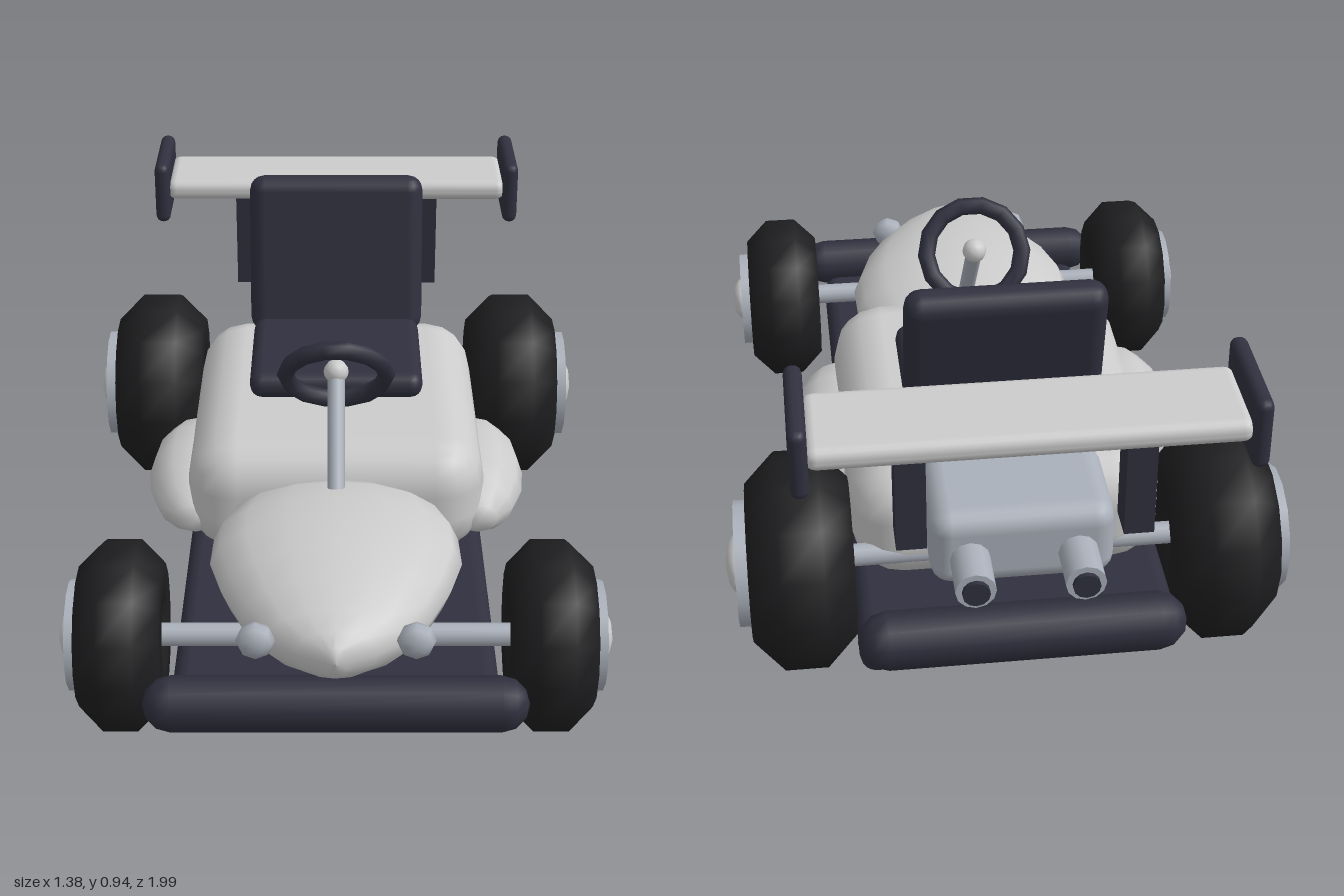
import * as THREE from 'three';
import { RoundedBoxGeometry } from 'three/addons/geometries/RoundedBoxGeometry.js';

const paint = new THREE.MeshStandardMaterial({ color: 0xcccccc });
const metal = new THREE.MeshStandardMaterial({ color: 0xaab0ba });
const dark = new THREE.MeshStandardMaterial({ color: 0x30303f });
const rubber = new THREE.MeshStandardMaterial({ color: 0x1e1e20 });

export function createModel() {
  const kart = new THREE.Group();
  kart.name = 'kart';

  const add = (name, geometry, material, x = 0, y = 0, z = 0, parent = kart) => {
    const mesh = new THREE.Mesh(geometry, material);
    mesh.name = name;
    mesh.position.set(x, y, z);
    parent.add(mesh);
    return mesh;
  };
  const rounded = (w, h, d, r) => new RoundedBoxGeometry(w, h, d, 2, r);
  // Cylinder or capsule lying along x
  const rodX = (r, length, sides = 12) => new THREE.CylinderGeometry(r, r, length, sides).rotateZ(Math.PI / 2);
  const bar = (r, length) => new THREE.CapsuleGeometry(r, length - 2 * r, 3, 10).rotateZ(Math.PI / 2);
  // Ellipsoid with its poles along z
  const ellipsoid = (rx, ry, rz, sides = 12, rings = 8) =>
    new THREE.SphereGeometry(1, sides, rings).rotateX(Math.PI / 2).scale(rx, ry, rz);

  // Floor and bumpers
  add('floorPlate', rounded(0.77, 0.1, 1.72, 0.04), dark, 0, 0.15, 0);
  add('frontBumper', bar(0.065, 0.89), dark, 0, 0.2, 0.93);
  add('rearBumper', bar(0.07, 0.78), dark, 0, 0.22, -0.87);

  // Main body and side pods
  add('body', rounded(0.77, 0.33, 0.9, 0.13), paint, 0, 0.325, -0.18);
  for (const s of [1, -1]) add('sidePod', ellipsoid(0.135, 0.105, 0.265), paint, s * 0.37, 0.265, -0.045);

  add('nose', noseGeometry(), paint);
  for (const s of [1, -1]) add('headlight', ellipsoid(0.046, 0.046, 0.035, 8, 6), metal, s * 0.185, 0.33, 0.865);

  // Seat
  add('seatCushion', rounded(0.46, 0.07, 0.41, 0.034), dark, 0, 0.53, -0.225);
  add('seatBack', rounded(0.48, 0.44, 0.09, 0.042), dark, 0, 0.73, -0.475).rotation.x = -0.21;

  // Steering
  const column = new THREE.LineCurve3(new THREE.Vector3(0, 0.4, 0.37), new THREE.Vector3(0, 0.66, 0.15));
  add('steeringColumn', new THREE.TubeGeometry(column, 1, 0.022, 10), metal);
  add('steeringHub', new THREE.SphereGeometry(0.032, 10, 8), paint, 0, 0.665, 0.148);
  add('steeringWheel', new THREE.TorusGeometry(0.128, 0.023, 6, 14), dark, 0, 0.657, 0.15).rotation.x = 0.62;

  // Wheels and axles: axle z, radius, tyre half width, rim radius, rim outer x, cap radius
  const axles = [
    ['front', 0.69, 0.23, 0.1, 0.133, 0.635, 0.06],
    ['rear', -0.6, 0.265, 0.125, 0.153, 0.665, 0.07],
  ];
  for (const [end, z, radius, half, rimRadius, rimX, capRadius] of axles) {
    add(end + 'Axle', rodX(0.028, 1), metal, 0, radius, z);
    for (const s of [1, -1]) {
      const wheel = new THREE.Group();
      wheel.name = end + 'Wheel';
      wheel.position.set(s * 0.51, radius, z);
      kart.add(wheel);
      add('tyre', tyreGeometry(radius, half), rubber, 0, 0, 0, wheel);
      const depth = rimX - 0.51;
      add('rim', rodX(rimRadius, depth, 14), metal, s * depth / 2, 0, 0, wheel);
      add('hubCap', ellipsoid(0.026, capRadius, capRadius, 10, 8), paint, s * depth, 0, 0, wheel);
    }
  }

  // Engine and exhausts
  add('engine', rounded(0.43, 0.2, 0.29, 0.05), metal, 0, 0.458, -0.725);
  for (const s of [1, -1]) {
    add('exhaustPipe', new THREE.CylinderGeometry(0.047, 0.047, 0.17, 12).rotateX(Math.PI / 2), metal, s * 0.125, 0.445, -0.9);
    add('exhaustOpening', new THREE.CylinderGeometry(0.032, 0.032, 0.03, 12).rotateX(Math.PI / 2), dark, s * 0.125, 0.445, -0.982);
  }

  // Rear wing
  add('wing', rounded(0.98, 0.058, 0.245, 0.026), paint, 0, 0.817, -0.85);
  for (const s of [1, -1]) {
    add('wingEndPlate', rounded(0.042, 0.175, 0.285, 0.02), dark, s * 0.503, 0.817, -0.845);
    add('wingStrut', new THREE.BoxGeometry(0.07, 0.3, 0.085), dark, s * 0.26, 0.65, -0.845);
  }
  return kart;
}

// Octagonal tyre section turned about the x axis
function tyreGeometry(radius, half) {
  const tube = half / Math.cos(Math.PI / 8);
  const points = [];
  for (let i = 0; i <= 8; i++) {
    const a = -Math.PI + (i + 0.5) * Math.PI / 4;
    points.push(new THREE.Vector2(radius - half + tube * Math.cos(a), tube * Math.sin(a)));
  }
  return new THREE.LatheGeometry(points, 14).rotateZ(Math.PI / 2);
}

// Nose lofted from elliptical sections: z, half width, bottom y, top y
function noseGeometry() {
  const sections = [
    [0.23, 0, 0.31, 0.31], [0.235, 0.2, 0.23, 0.405], [0.3, 0.27, 0.21, 0.43], [0.41, 0.305, 0.2, 0.452],
    [0.53, 0.308, 0.195, 0.46], [0.65, 0.275, 0.195, 0.453], [0.76, 0.225, 0.2, 0.433],
    [0.85, 0.165, 0.225, 0.405], [0.91, 0.095, 0.255, 0.385], [0.95, 0.025, 0.285, 0.365], [0.957, 0, 0.325, 0.325],
  ];
  const sides = 16, position = [], index = [];
  for (const [z, w, low, high] of sections) {
    for (let j = 0; j < sides; j++) {
      const a = j / sides * Math.PI * 2;
      position.push(w * Math.cos(a), (low + high) / 2 + (high - low) / 2 * Math.sin(a), z);
    }
  }
  for (let i = 0; i < sections.length - 1; i++) {
    for (let j = 0; j < sides; j++) {
      const k = (j + 1) % sides;
      const a = i * sides + j, b = i * sides + k, c = b + sides, d = a + sides;
      index.push(a, b, c, a, c, d);
    }
  }
  const geometry = new THREE.BufferGeometry();
  geometry.setAttribute('position', new THREE.Float32BufferAttribute(position, 3));
  geometry.setIndex(index);
  geometry.computeVertexNormals();
  return geometry;
}
